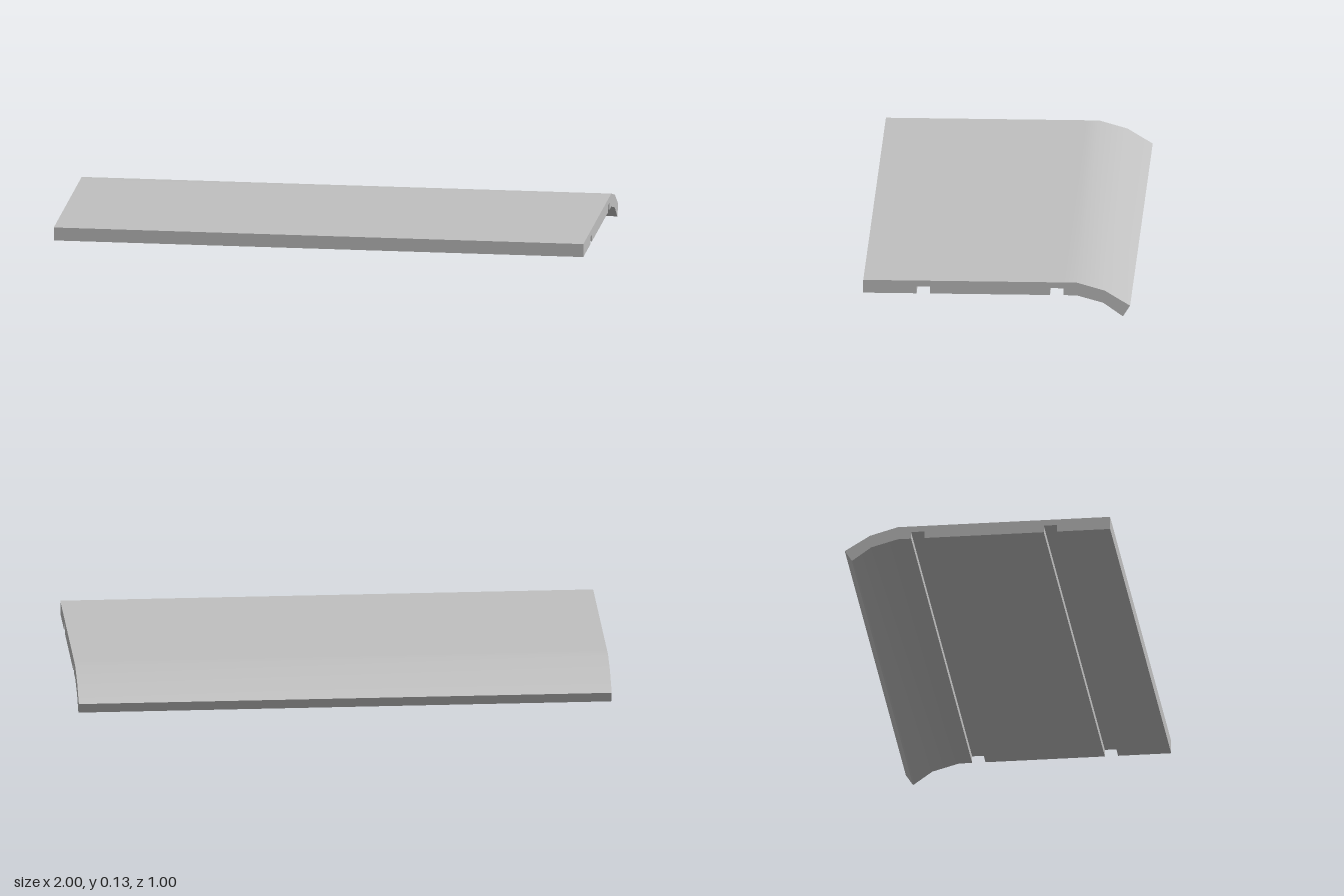
import * as THREE from 'three';
import { toCreasedNormals } from 'three/addons/utils/BufferGeometryUtils.js';

const LENGTH = 2;
const TOP = 0.13, BOTTOM = 0.08, GROOVE_TOP = 0.107, GROOVE_WIDTH = 0.05;

// Underside groove: four corners, running towards the back
const groove = (z) => [
  [z, BOTTOM], [z, GROOVE_TOP], [z - GROOVE_WIDTH, GROOVE_TOP], [z - GROOVE_WIDTH, BOTTOM],
];

export function createModel() {
  const group = new THREE.Group();
  group.name = 'bentPanel';

  const grey = new THREE.MeshStandardMaterial({ color: 0xc0c0c0 });
  grey.name = 'grey';

  // Cross-section as [z, y]: grooved underside, drooping rear lip, top surface
  const profile = [
    [0.5, BOTTOM],
    ...groove(0.3),
    ...groove(-0.2),
    [-0.3, BOTTOM], [-0.4, 0.052], [-0.473, 0],
    [-0.5, 0.042], [-0.405, 0.1], [-0.3, TOP],
    [-0.25, TOP], [0.5, TOP],
  ];
  const shape = new THREE.Shape(profile.map(([z, y]) => new THREE.Vector2(-z, y)));

  // Extrude across the width, keeping the shallow bends smooth
  const geometry = new THREE.ExtrudeGeometry(shape, { depth: LENGTH, bevelEnabled: false });
  geometry.translate(0, 0, -LENGTH / 2);
  geometry.rotateY(Math.PI / 2);

  const panel = new THREE.Mesh(toCreasedNormals(geometry, Math.PI / 5), grey);
  panel.name = 'panel';
  group.add(panel);
  return group;
}
